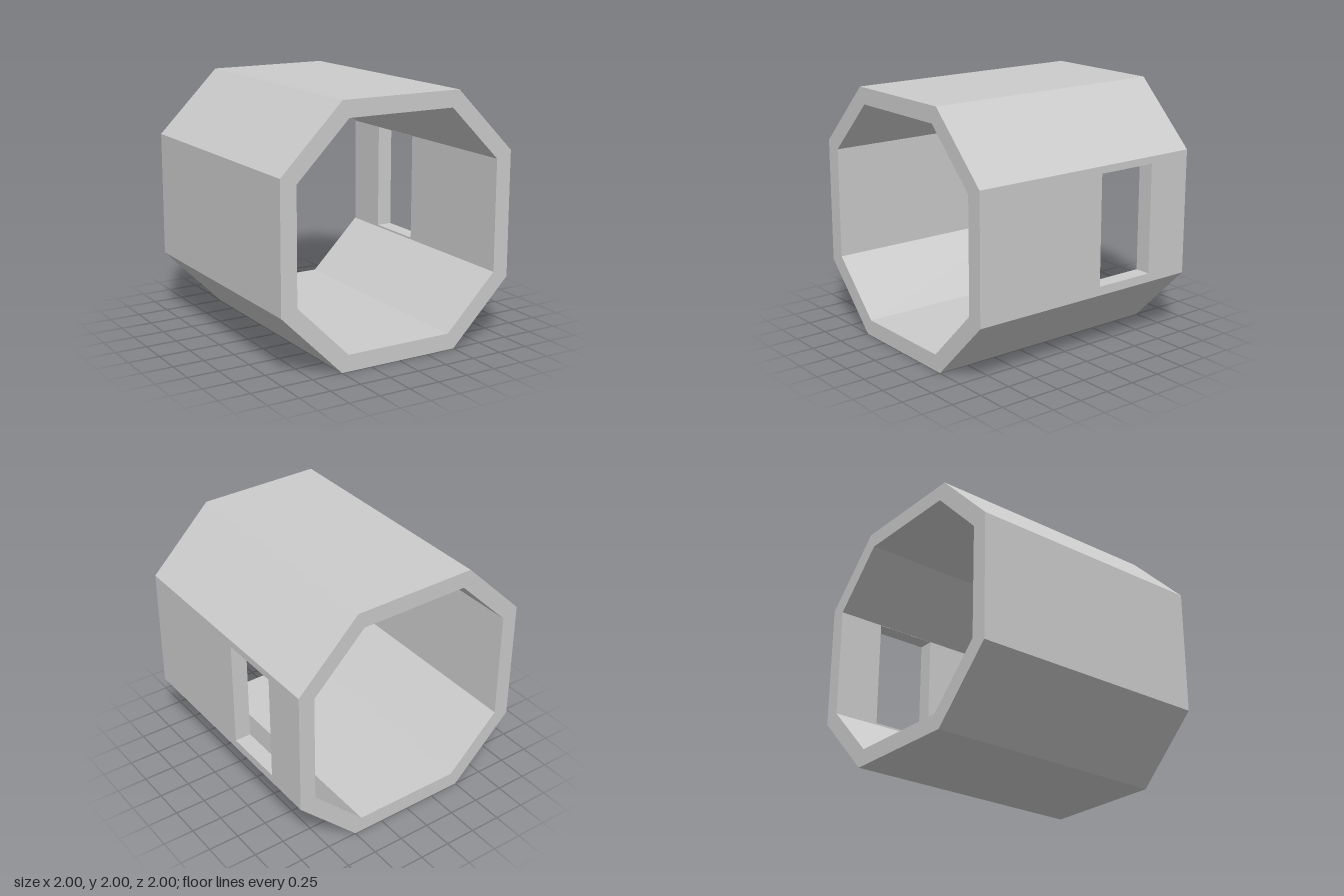
import * as THREE from 'three';
import { mergeGeometries } from 'three/addons/utils/BufferGeometryUtils.js';

const CENTRE_Y = 1, HALF_LENGTH = 1;
const OUTER = { r: 1, h: 0.5 };        // flat distance, half flat width
const INNER = { r: 0.87, h: 0.445 };
const DOOR = { z0: -0.625, z1: -0.12, y0: -0.43, y1: 0.443 }; // y from the tube axis

// Corners of an octagon with chamfered corners
function octagon({ r, h }) {
  return [[r, -h], [r, h], [h, r], [-h, r], [-r, h], [-r, -h], [-h, -r], [h, -r]]
    .map(([x, y]) => new THREE.Vector2(x, y));
}

function rect(x0, x1, y0, y1) {
  return [[x0, y0], [x1, y0], [x1, y1], [x0, y1]].map(([x, y]) => new THREE.Vector2(x, y));
}

// One flat side of the tube, facing out (side = 1) or in (side = -1)
function panel({ r, h }, i, side) {
  const diagonal = i % 2 === 1;
  const half = diagonal ? (r - h) / Math.SQRT2 : h;
  const distance = diagonal ? (r + h) / Math.SQRT2 : r;
  const shape = new THREE.Shape(rect(-HALF_LENGTH, HALF_LENGTH, -half, half));
  if (i === 0) {
    const xs = [-side * DOOR.z0, -side * DOOR.z1].sort((a, b) => a - b);
    shape.holes.push(new THREE.Path(rect(xs[0], xs[1], DOOR.y0, DOOR.y1)));
  }
  return new THREE.ShapeGeometry(shape)
    .rotateY(side * Math.PI / 2)
    .translate(distance, 0, 0)
    .rotateZ(i * Math.PI / 4);
}

function endRing(back) {
  const shape = new THREE.Shape(octagon(OUTER));
  shape.holes.push(new THREE.Path(octagon(INNER)));
  const ring = new THREE.ShapeGeometry(shape).translate(0, 0, HALF_LENGTH);
  return back ? ring.rotateY(Math.PI) : ring;
}

// The four faces lining the doorway through the wall
function doorLining() {
  const depth = OUTER.r - INNER.r, x = (OUTER.r + INNER.r) / 2;
  const w = DOOR.z1 - DOOR.z0, h = DOOR.y1 - DOOR.y0;
  const zc = (DOOR.z0 + DOOR.z1) / 2, yc = (DOOR.y0 + DOOR.y1) / 2;
  return mergeGeometries([
    new THREE.PlaneGeometry(depth, w).rotateX(-Math.PI / 2).translate(x, DOOR.y0, zc),
    new THREE.PlaneGeometry(depth, w).rotateX(Math.PI / 2).translate(x, DOOR.y1, zc),
    new THREE.PlaneGeometry(depth, h).translate(x, yc, DOOR.z0),
    new THREE.PlaneGeometry(depth, h).rotateY(Math.PI).translate(x, yc, DOOR.z1),
  ]);
}

export function createModel() {
  const group = new THREE.Group();
  group.name = 'octagonalTube';
  const material = new THREE.MeshStandardMaterial({ color: 0xcccccc, flatShading: true });
  const sides = [0, 1, 2, 3, 4, 5, 6, 7];
  const parts = {
    outerWalls: mergeGeometries(sides.map(i => panel(OUTER, i, 1))),
    innerWalls: mergeGeometries(sides.map(i => panel(INNER, i, -1))),
    frontRim: endRing(false),
    backRim: endRing(true),
    doorwayLining: doorLining(),
  };
  for (const [name, geometry] of Object.entries(parts)) {
    const mesh = new THREE.Mesh(geometry.translate(0, CENTRE_Y, 0), material);
    mesh.name = name;
    group.add(mesh);
  }
  return group;
}
